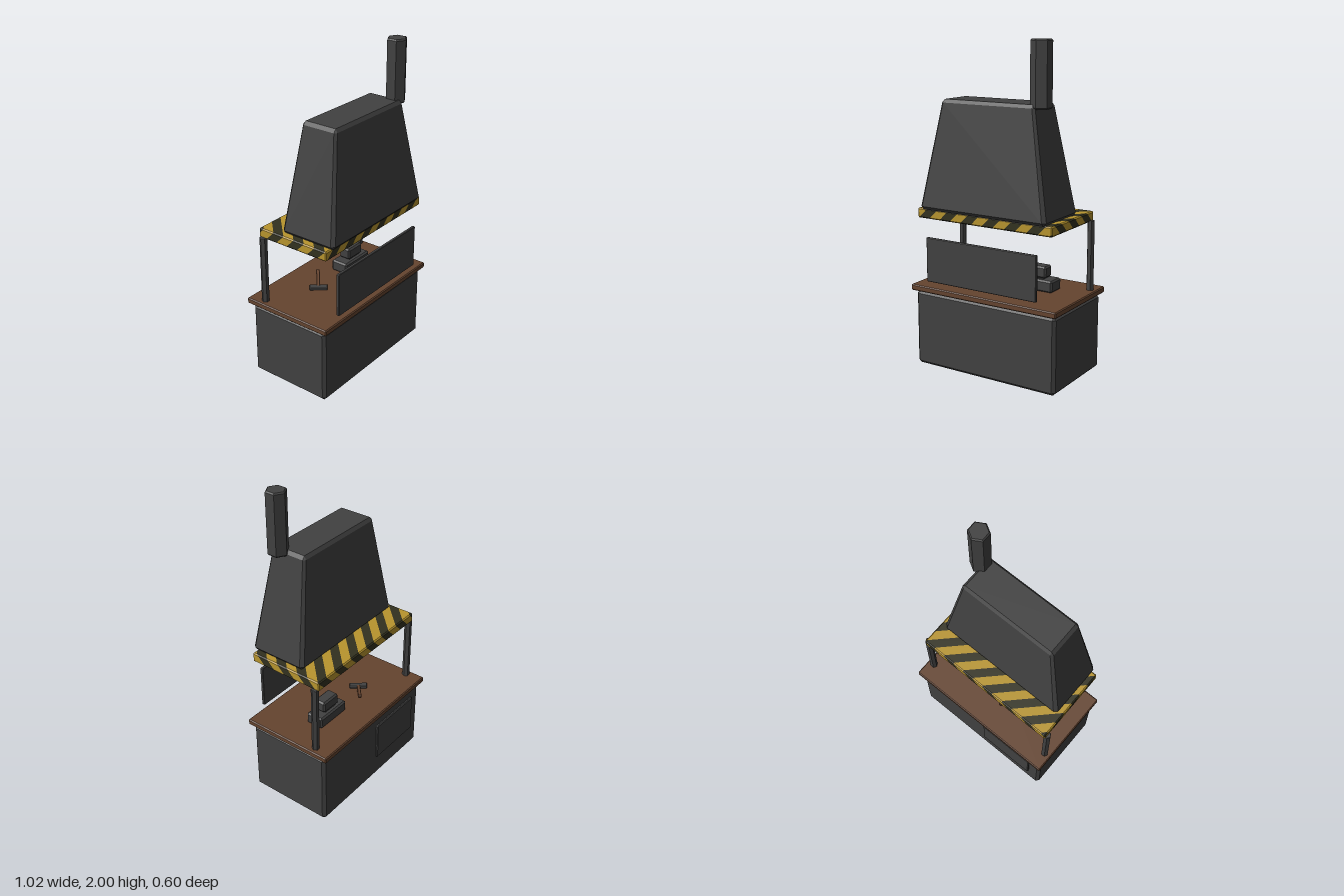
import * as THREE from 'three';
import { ConvexGeometry } from 'three/addons/geometries/ConvexGeometry.js';

const paint = (color) => new THREE.MeshStandardMaterial({ color });

// Chamfered box; bend(p, t) may reshape it, t running 0..1 from bottom to top
function block([x0, x1], [y0, y1], [z0, z1], b, bend) {
  const pts = [];
  for (const i of [0, 1]) for (const j of [0, 1]) for (const k of [0, 1]) {
    for (let face = 0; face < 3; face++) {
      const inset = [0, 1, 2].map((a) => (a === face ? 0 : b));
      const p = new THREE.Vector3(
        i ? x1 - inset[0] : x0 + inset[0],
        j ? y1 - inset[1] : y0 + inset[1],
        k ? z1 - inset[2] : z0 + inset[2]);
      if (bend) bend(p, (p.y - y0) / (y1 - y0));
      pts.push(p);
    }
  }
  return new ConvexGeometry(pts);
}

// Six-sided bar with chamfered ends and flat faces
function hexBar(r, h, b) {
  const profile = [[0, 0], [r - b, 0], [r, b], [r, h - b], [r - b, h], [0, h]];
  const g = new THREE.LatheGeometry(profile.map(([x, y]) => new THREE.Vector2(x, y)), 6).toNonIndexed();
  g.computeVertexNormals();
  return g;
}

// Keep the side of a polygon where sign * (height(p) - limit) >= 0
function clip(poly, height, limit, sign) {
  const out = [];
  poly.forEach((p, i) => {
    const q = poly[(i + 1) % poly.length];
    const dp = sign * (height(p) - limit), dq = sign * (height(q) - limit);
    if (dp >= 0) out.push(p);
    if (dp * dq < 0) out.push(p.clone().lerp(q, dp / (dp - dq)));
  });
  return out;
}

// Cut a surface into alternating diagonal bands, returned as two geometries
function stripe(geometry, step, phase) {
  const along = (p) => p.x + p.z - (p.y - 0.99) - phase;
  const pos = geometry.getAttribute('position');
  const sets = [[], []];
  for (let i = 0; i < pos.count; i += 3) {
    const tri = [0, 1, 2].map((k) => new THREE.Vector3().fromBufferAttribute(pos, i + k));
    const f = tri.map(along);
    const last = Math.floor(Math.max(...f) / step);
    for (let n = Math.floor(Math.min(...f) / step); n <= last; n++) {
      const part = clip(clip(tri, along, n * step, 1), along, (n + 1) * step, -1);
      for (let k = 1; k + 1 < part.length; k++) {
        for (const p of [part[0], part[k], part[k + 1]]) sets[Math.abs(n % 2)].push(p);
      }
    }
  }
  return sets.map((pts) => {
    const g = new THREE.BufferGeometry().setFromPoints(pts);
    g.computeVertexNormals();
    return g;
  });
}

export function createModel() {
  const model = new THREE.Group();
  const iron = paint(0x414141);
  const wood = paint(0x65442f);
  const yellow = paint(0xb8952e);
  const black = paint(0x32311f);
  iron.name = 'iron';
  wood.name = 'wood';
  yellow.name = 'warningYellow';
  black.name = 'warningBlack';

  const add = (name, geometry, material, parent = model) => {
    const mesh = new THREE.Mesh(geometry, material);
    mesh.name = name;
    parent.add(mesh);
    return mesh;
  };

  // Cabinet with its back door, and the worktop
  add('cabinet', block([-0.49, 0.49], [0, 0.47], [-0.272, 0.275], 0.018), iron);
  add('cabinetDoor', block([-0.41, -0.03], [0.15, 0.4], [-0.285, -0.26], 0.005), iron);
  add('worktop', block([-0.508, 0.508], [0.475, 0.512], [-0.3, 0.3], 0.006), wood);

  // Posts carrying the back of the canopy
  for (const side of [-1, 1]) {
    const post = add(side > 0 ? 'leftPost' : 'rightPost', hexBar(0.023, 0.43, 0.002), iron);
    post.rotation.y = Math.PI / 2;
    post.position.set(side * 0.464, 0.508, -0.191);
  }

  // Striped canopy slab
  const canopy = new THREE.Group();
  canopy.name = 'canopy';
  model.add(canopy);
  const slab = block([-0.466, 0.464], [0.93, 0.99], [-0.22, 0.272], 0.007);
  const [yellowBands, blackBands] = stripe(slab, 0.075, 0.1);
  add('yellowStripes', yellowBands, yellow, canopy);
  add('blackStripes', blackBands, black, canopy);

  // Tapered smoke hood and its flue
  add('hood', block([-0.436, 0.436], [0.988, 1.645], [-0.078, 0.3], 0.02, (p, t) => {
    p.x *= 1 - 0.285 * t;
    p.z = 0.111 - 0.005 * t + (p.z - 0.111) * (1 - 0.39 * t);
  }), iron);
  add('flue', hexBar(0.062, 0.38, 0.008), iron).position.set(0.326, 1.62, 0.164);

  // Front board with a small grip on its inner face
  add('frontBoard', block([-0.384, 0.38], [0.55, 0.822], [0.28, 0.3], 0.003), iron);
  add('boardGrip', block([-0.33, -0.3], [0.655, 0.77], [0.274, 0.284], 0.002), iron);

  // Anvil
  const anvil = new THREE.Group();
  anvil.name = 'anvil';
  model.add(anvil);
  add('anvilBase', block([0.07, 0.31], [0.51, 0.583], [-0.112, 0.003], 0.01), iron, anvil);
  add('anvilNeck', block([0.14, 0.24], [0.575, 0.605], [-0.085, -0.025], 0.002), iron, anvil);
  add('anvilTop', block([0.122, 0.258], [0.588, 0.66], [-0.092, -0.014], 0.01), iron, anvil);

  // Hammer lying on the worktop, its handle tilted up
  const hammer = new THREE.Group();
  hammer.name = 'hammer';
  hammer.position.set(-0.165, 0.52, -0.03);
  hammer.rotation.y = 0.7;
  model.add(hammer);
  add('hammerHead', block([-0.02, 0.02], [-0.01, 0.01], [-0.055, 0.055], 0.003), iron, hammer);
  const handle = add('hammerHandle', block([0, 0.16], [-0.009, 0.009], [-0.011, 0.011], 0.003), wood, hammer);
  handle.rotation.z = 0.2;

  return model;
}
